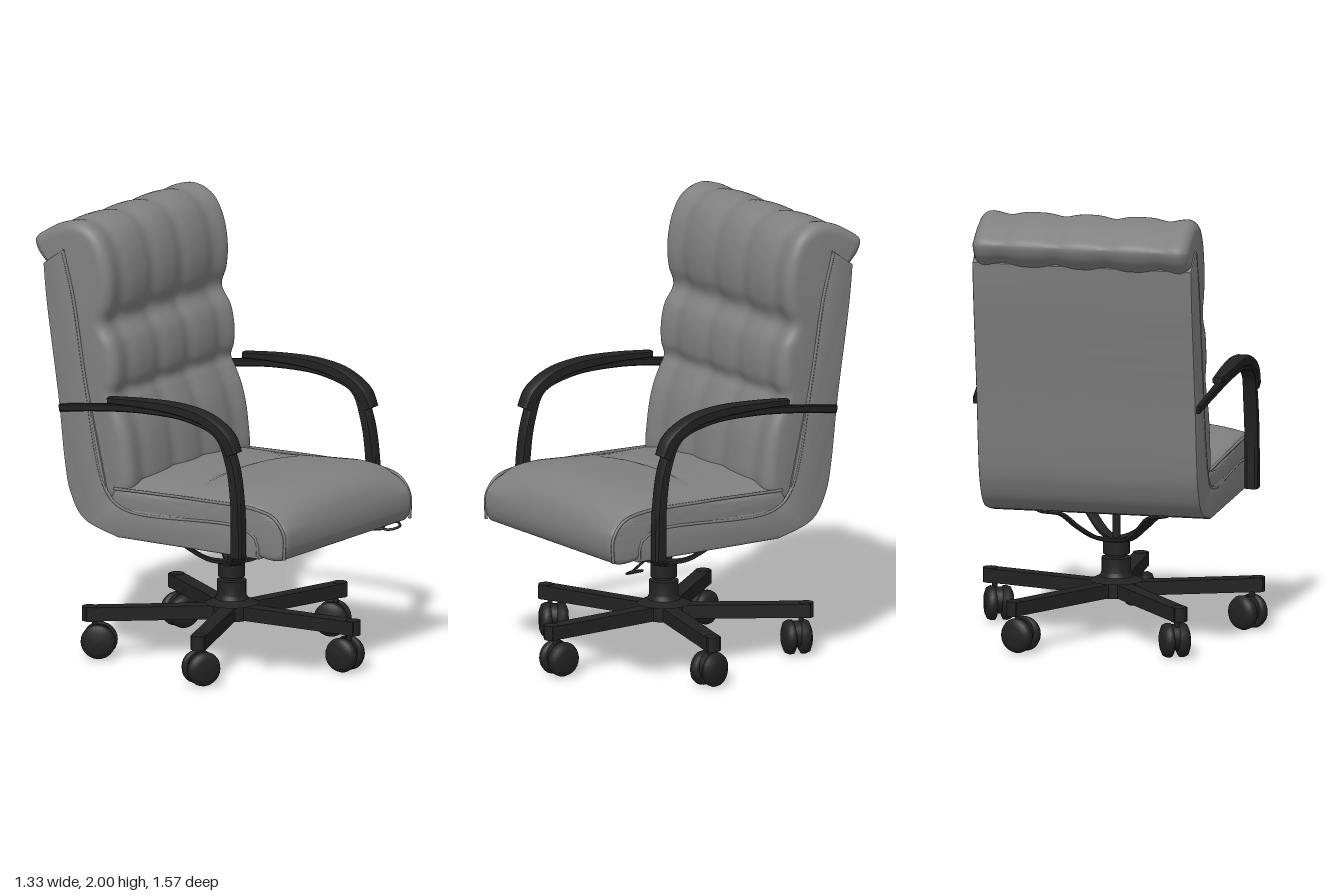
import * as THREE from 'three';
import { toCreasedNormals } from 'three/addons/utils/BufferGeometryUtils.js';

const V = (x, y, z) => new THREE.Vector3(x, y, z);
const fabric = new THREE.MeshStandardMaterial({ color: 0x808080, roughness: 0.8 });
const black = new THREE.MeshStandardMaterial({ color: 0x222222, roughness: 0.6 });

function add(parent, name, geometry, material, x = 0, y = 0, z = 0) {
  const mesh = new THREE.Mesh(geometry, material);
  mesh.name = name;
  mesh.position.set(x, y, z);
  parent.add(mesh);
  return mesh;
}

// Closed skin through a row of equal rings, with fan caps
function skin(rings, crease) {
  const n = rings[0].length, last = rings.length - 1, pos = [], idx = [];
  rings.forEach(r => r.forEach(p => pos.push(p.x, p.y, p.z)));
  for (let i = 0; i < last; i++) for (let j = 0; j < n; j++) {
    const a = i * n + j, b = i * n + (j + 1) % n;
    idx.push(a, a + n, b, b, a + n, b + n);
  }
  for (const i of [0, last]) {
    const mid = rings[i].reduce((s, p) => s.add(p), V(0, 0, 0)).divideScalar(n);
    const c = pos.length / 3;
    pos.push(mid.x, mid.y, mid.z);
    for (let j = 0; j < n; j++) {
      const a = i * n + j, b = i * n + (j + 1) % n;
      if (i === 0) idx.push(c, a, b); else idx.push(c, b, a);
    }
  }
  const g = new THREE.BufferGeometry();
  g.setAttribute('position', new THREE.Float32BufferAttribute(pos, 3));
  g.setIndex(idx);
  return toCreasedNormals(g, crease);
}

// Cushion: a (z, y) side profile carried across x, rounded at both ends
function cushion(profile, half, round, shape) {
  const curve = new THREE.CatmullRomCurve3(profile.map(([z, y]) => V(0, y, z)), true);
  const base = curve.getPoints(120).slice(0, -1);
  const xs = [];
  for (let k = 0; k <= 6; k++) xs.push(-half + round * (1 - Math.cos(k * Math.PI / 12)));
  const inner = half - round;
  for (let k = 1; k < 48; k++) xs.push(-inner + 2 * inner * k / 48);
  for (let k = 6; k >= 0; k--) xs.push(half - round * (1 - Math.cos(k * Math.PI / 12)));
  return skin(xs.map(x => {
    const e = Math.max(0, (Math.abs(x) - inner) / round);
    const inset = round * (1 - Math.sqrt(Math.max(0, 1 - e * e)));
    return base.map((p, j) => {
      const a = base[(j + 119) % 120], b = base[(j + 1) % 120];
      const t = b.clone().sub(a).normalize();
      const q = V(x, p.y, p.z);
      const d = shape(q, x / half) - inset;
      return q.add(V(0, -t.z * d, t.y * d));
    });
  }), 0.9);
}

// Bar with a chamfered section; points are [x, y, z, width, thickness]
function bar(points, side, steps = 32) {
  const path = new THREE.CatmullRomCurve3(points.map(p => V(p[0], p[1], p[2])));
  const size = new THREE.CatmullRomCurve3(points.map(p => V(p[3], p[4], 0)));
  const sec = [[1, 0.6], [0.7, 1], [-0.7, 1], [-1, 0.6], [-1, -0.6], [-0.7, -1], [0.7, -1], [1, -0.6]];
  const rings = [];
  for (let i = 0; i <= steps; i++) {
    const p = path.getPoint(i / steps), t = path.getTangent(i / steps), s = size.getPoint(i / steps);
    const S = side.clone().addScaledVector(t, -side.dot(t)).normalize();
    const N = t.clone().cross(S);
    rings.push(sec.map(([n, w]) => p.clone().addScaledVector(N, n * s.y / 2).addScaledVector(S, w * s.x / 2)));
  }
  return skin(rings, 0.6);
}

function tube(points, r, closed = false) {
  return new THREE.TubeGeometry(new THREE.CatmullRomCurve3(points.map(p => V(...p)), closed), 48, r, 6, closed);
}

const gauss = (d, w) => Math.exp(-d * d / (w * w));

function buildSeat(parent) {
  // L-shaped outer shell under the seat and behind the back
  const s = new THREE.Shape();
  s.moveTo(0.53, 0.605);
  s.lineTo(0.53, 0.66);
  s.quadraticCurveTo(0.52, 0.72, 0.45, 0.725);
  s.lineTo(-0.2, 0.725);
  s.quadraticCurveTo(-0.26, 0.73, -0.285, 0.8);
  s.lineTo(-0.4, 1.29);
  s.lineTo(-0.465, 1.66);
  s.lineTo(-0.515, 1.86);
  s.lineTo(-0.61, 1.79);
  s.splineThru([[-0.59, 1.6], [-0.53, 1.2], [-0.497, 0.92], [-0.465, 0.77], [-0.39, 0.66], [-0.22, 0.605]]
    .map(p => new THREE.Vector2(...p)));
  const shell = new THREE.ExtrudeGeometry(s, {
    depth: 0.98, bevelEnabled: true, bevelSize: 0.01, bevelThickness: 0.01, bevelSegments: 2, curveSegments: 12
  });
  shell.rotateY(-Math.PI / 2).translate(0.49, 0, 0);
  add(parent, 'shell', toCreasedNormals(shell, 0.5), fabric);

  // Seat cushion: crowned, with a curved crease behind the front pad
  add(parent, 'seatCushion', cushion([
    [0.56, 0.6], [0.66, 0.605], [0.685, 0.65], [0.685, 0.73], [0.65, 0.81], [0.57, 0.865], [0.45, 0.885],
    [0.3, 0.88], [0.15, 0.87], [0, 0.86], [-0.15, 0.86], [-0.26, 0.85], [-0.27, 0.75], [-0.2, 0.68],
    [0.1, 0.67], [0.45, 0.65]
  ], 0.497, 0.025, (q, t) => {
    if (q.y < 0.74) return 0;
    const line = 0.08 + 0.5 * q.x * q.x;
    const crease = -0.012 * gauss(q.z - line, 0.025) * Math.max(0, 1 - (q.x / 0.37) ** 4);
    return crease - 0.045 * Math.abs(t) ** 3 * Math.min(1, (q.y - 0.74) / 0.1);
  }), fabric);

  // Back cushion: three horizontal rolls, four shallow upright channels, rolled top
  add(parent, 'backCushion', cushion([
    [-0.17, 0.8], [-0.17, 0.95], [-0.2, 1.1], [-0.24, 1.19], [-0.262, 1.235], [-0.247, 1.29], [-0.245, 1.38],
    [-0.265, 1.47], [-0.312, 1.55], [-0.288, 1.63], [-0.28, 1.74], [-0.305, 1.87], [-0.36, 1.96], [-0.45, 2],
    [-0.54, 1.985], [-0.63, 1.94], [-0.685, 1.895], [-0.67, 1.84], [-0.625, 1.79], [-0.56, 1.72],
    [-0.49, 1.45], [-0.42, 1.1], [-0.33, 0.8], [-0.25, 0.75]
  ], 0.492, 0.05, q => {
    let d = 0;
    for (const c of [-0.36, -0.115, 0.115, 0.36]) d -= 0.014 * gauss(q.x - c, 0.05);
    return d;
  }), fabric);

  // Piping along the side seams
  for (const m of [-1, 1]) {
    add(parent, 'seatPiping', tube([[m * 0.494, 0.61, 0.675], [m * 0.494, 0.72, 0.675], [m * 0.494, 0.79, 0.625],
      [m * 0.494, 0.82, 0.53], [m * 0.494, 0.825, 0.2], [m * 0.494, 0.815, -0.24]], 0.007), fabric);
    add(parent, 'shellPiping', tube([[m * 0.496, 0.61, 0.535], [m * 0.496, 0.68, 0.53], [m * 0.496, 0.728, 0.45],
      [m * 0.496, 0.728, -0.18], [m * 0.496, 0.8, -0.28], [m * 0.496, 1.29, -0.395],
      [m * 0.496, 1.66, -0.46], [m * 0.496, 1.86, -0.515]], 0.007), fabric);
  }
}

function buildArmrest(parent, m) {
  const arm = new THREE.Group();
  arm.name = m > 0 ? 'leftArmrest' : 'rightArmrest';
  const X = V(1, 0, 0);
  add(arm, 'armFrame', bar([
    [m * 0.508, 1.15, -0.52, 0.02, 0.035], [m * 0.525, 1.185, -0.3, 0.03, 0.035], [m * 0.535, 1.21, -0.05, 0.04, 0.035],
    [m * 0.535, 1.205, 0.2, 0.05, 0.04], [m * 0.535, 1.15, 0.36, 0.055, 0.045], [m * 0.53, 1.03, 0.42, 0.06, 0.05],
    [m * 0.53, 0.85, 0.45, 0.06, 0.055], [m * 0.53, 0.6, 0.455, 0.06, 0.06]], X, 48), black);
  add(arm, 'armPad', bar([
    [m * 0.53, 1.228, -0.24, 0.04, 0.03], [m * 0.535, 1.238, -0.05, 0.06, 0.04], [m * 0.535, 1.235, 0.15, 0.07, 0.05],
    [m * 0.535, 1.205, 0.3, 0.075, 0.055], [m * 0.535, 1.14, 0.4, 0.075, 0.06], [m * 0.535, 1.07, 0.435, 0.07, 0.06]], X), black);
  parent.add(arm);
}

// Base group is centred on the column
function buildBase(parent) {
  const lathe = [[0, 0.17], [0.09, 0.17], [0.09, 0.235], [0.12, 0.24], [0.075, 0.26], [0.065, 0.28], [0.065, 0.345],
    [0.045, 0.35], [0.045, 0.36], [0.06, 0.362], [0.06, 0.42], [0, 0.425]].map(p => new THREE.Vector2(...p));
  add(parent, 'column', toCreasedNormals(new THREE.LatheGeometry(lathe, 28), 0.5), black);
  add(parent, 'spindle', new THREE.CylinderGeometry(0.018, 0.018, 0.2, 12), black, 0, 0.51, 0);

  const swivel = [0.6, 0.3, 1.3, 0.7, 1.45];
  swivel.forEach((axis, k) => {
    const a = -k * Math.PI * 2 / 5;
    const leg = new THREE.Group();
    leg.name = 'baseLeg';
    leg.rotation.y = a;
    add(leg, 'legBeam', new THREE.BoxGeometry(0.65, 0.062, 0.068), black, 0.325, 0.203, 0);
    add(leg, 'legCap', new THREE.CylinderGeometry(0.034, 0.034, 0.066, 16), black, 0.632, 0.203, 0);
    add(leg, 'casterStem', new THREE.CylinderGeometry(0.012, 0.012, 0.12, 10), black, 0.61, 0.14, 0);
    // Twin-wheel caster with a hood between the wheels
    const caster = new THREE.Group();
    caster.name = 'caster';
    caster.position.set(0.59, 0.078, 0);
    caster.rotation.y = axis - a;
    const wheel = [[0, -0.026], [0.06, -0.026], [0.076, -0.018], [0.078, 0], [0.07, 0.018], [0.045, 0.028], [0, 0.03]]
      .map(p => new THREE.Vector2(...p));
    for (const m of [-1, 1]) {
      const w = add(caster, 'wheel', new THREE.LatheGeometry(wheel, 24), black, m * 0.036, 0, 0);
      w.rotation.z = -m * Math.PI / 2;
    }
    const hood = add(caster, 'casterHood', new THREE.CylinderGeometry(0.06, 0.06, 0.03, 20), black, 0, 0.012, 0);
    hood.rotation.z = Math.PI / 2;
    leg.add(caster);
    parent.add(leg);
  });

  // Curved straps that carry the seat
  for (let k = 0; k < 4; k++) {
    const a = Math.PI / 4 + k * Math.PI / 2 - 0.26, c = Math.cos(a), s = Math.sin(a);
    add(parent, 'seatStrap', bar([[0, 0.425], [0.1, 0.44], [0.2, 0.5], [0.29, 0.57], [0.4, 0.598]]
      .map(([r, y]) => [r * c, y, r * s, 0.05, 0.018]), V(-s, 0, c), 20), black);
  }

  // Height lever with a wire loop at its end
  add(parent, 'lever', tube([[0, 0.548, 0], [0.3, 0.548, 0.17], [0.58, 0.55, 0.36]], 0.006), black);
  add(parent, 'leverLoop', tube([[0.58, 0.55, 0.36], [0.63, 0.565, 0.33], [0.66, 0.57, 0.36],
    [0.64, 0.56, 0.4], [0.6, 0.55, 0.39]], 0.006, true), black);
}

export function createModel() {
  const model = new THREE.Group();
  model.name = 'officeChair';

  // The upper part is turned a little on the base
  const upper = new THREE.Group();
  upper.name = 'upperChair';
  upper.rotation.y = 0.26;
  upper.position.set(-0.012, 0, 0);
  buildSeat(upper);
  buildArmrest(upper, 1);
  buildArmrest(upper, -1);
  model.add(upper);

  const base = new THREE.Group();
  base.name = 'base';
  base.position.set(0, 0, 0.055);
  buildBase(base);
  model.add(base);
  return model;
}
